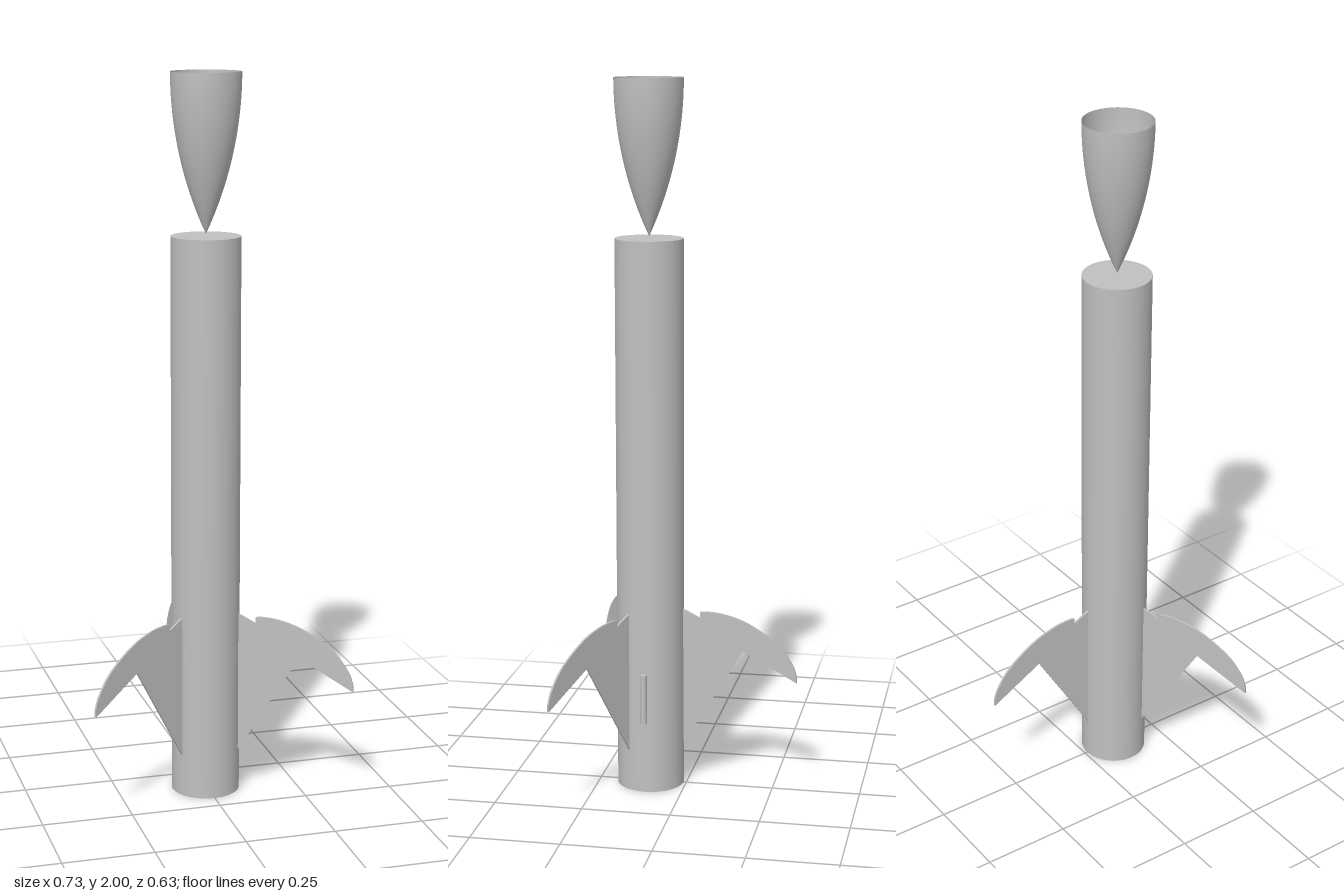
import * as THREE from 'three';

const BODY_RADIUS = 0.095;
const BODY_HEIGHT = 1.567;
const FIN_THICKNESS = 0.006;

// Swept fin outline: x is the distance from the body axis, y the height
function finShape() {
  const s = new THREE.Shape();
  s.moveTo(0.093, 0.117);
  s.lineTo(0.267, 0.404);
  s.lineTo(0.42, 0.318);
  s.lineTo(0.42, 0.338);
  s.splineThru([[0.405, 0.377], [0.362, 0.431], [0.283, 0.484], [0.215, 0.508], [0.165, 0.514], [0.143, 0.512]]
    .map(([x, y]) => new THREE.Vector2(x, y)));
  s.lineTo(0.143, 0.495); // small notch in the top edge
  s.lineTo(0.093, 0.52);
  s.closePath();
  return s;
}

// Tangent ogive profile from the tip up to the open rim
function ogiveProfile(radius, length, steps) {
  const rho = (radius * radius + length * length) / (2 * radius);
  const points = [];
  for (let i = 0; i <= steps; i++) {
    const y = (length * i) / steps;
    const d = length - y;
    points.push(new THREE.Vector2(Math.max(0, Math.sqrt(rho * rho - d * d) + radius - rho), y));
  }
  return points;
}

export function createModel() {
  const grey = new THREE.MeshStandardMaterial({ color: 0xc0c0c0 });
  grey.name = 'grey';
  const greyShell = new THREE.MeshStandardMaterial({ color: 0xc0c0c0, side: THREE.DoubleSide });
  greyShell.name = 'grey shell';

  const model = new THREE.Group();
  model.name = 'rocket';
  const add = (name, geometry, material, x, y, z) => {
    const mesh = new THREE.Mesh(geometry, material);
    mesh.name = name;
    mesh.position.set(x, y, z);
    model.add(mesh);
    return mesh;
  };

  // Body axis sits forward of the middle because one fin points straight back
  const cx = -0.001, cz = 0.103;
  add('bodyTube', new THREE.CylinderGeometry(BODY_RADIUS, BODY_RADIUS, BODY_HEIGHT, 64),
    grey, cx, BODY_HEIGHT / 2, cz);

  // Inverted, open nose shell standing on its tip
  const tipY = 1.572;
  add('noseShell', new THREE.LatheGeometry(ogiveProfile(BODY_RADIUS, 2 - tipY, 24), 64),
    greyShell, cx, tipY, cz);

  // Three fins: back, front left and front right
  const finGeometry = new THREE.ExtrudeGeometry(finShape(), {
    depth: FIN_THICKNESS, bevelEnabled: false, curveSegments: 5,
  });
  finGeometry.translate(0, 0, -FIN_THICKNESS / 2);
  [['finBack', 90], ['finLeft', -30], ['finRight', 210]].forEach(([name, degrees]) => {
    add(name, finGeometry, grey, cx, 0, cz).rotation.y = THREE.MathUtils.degToRad(degrees);
  });

  // Launch lug on the left side
  add('launchLug', new THREE.CylinderGeometry(0.0095, 0.0095, 0.143, 24), grey, 0.1035, 0.279, cz);

  return model;
}
